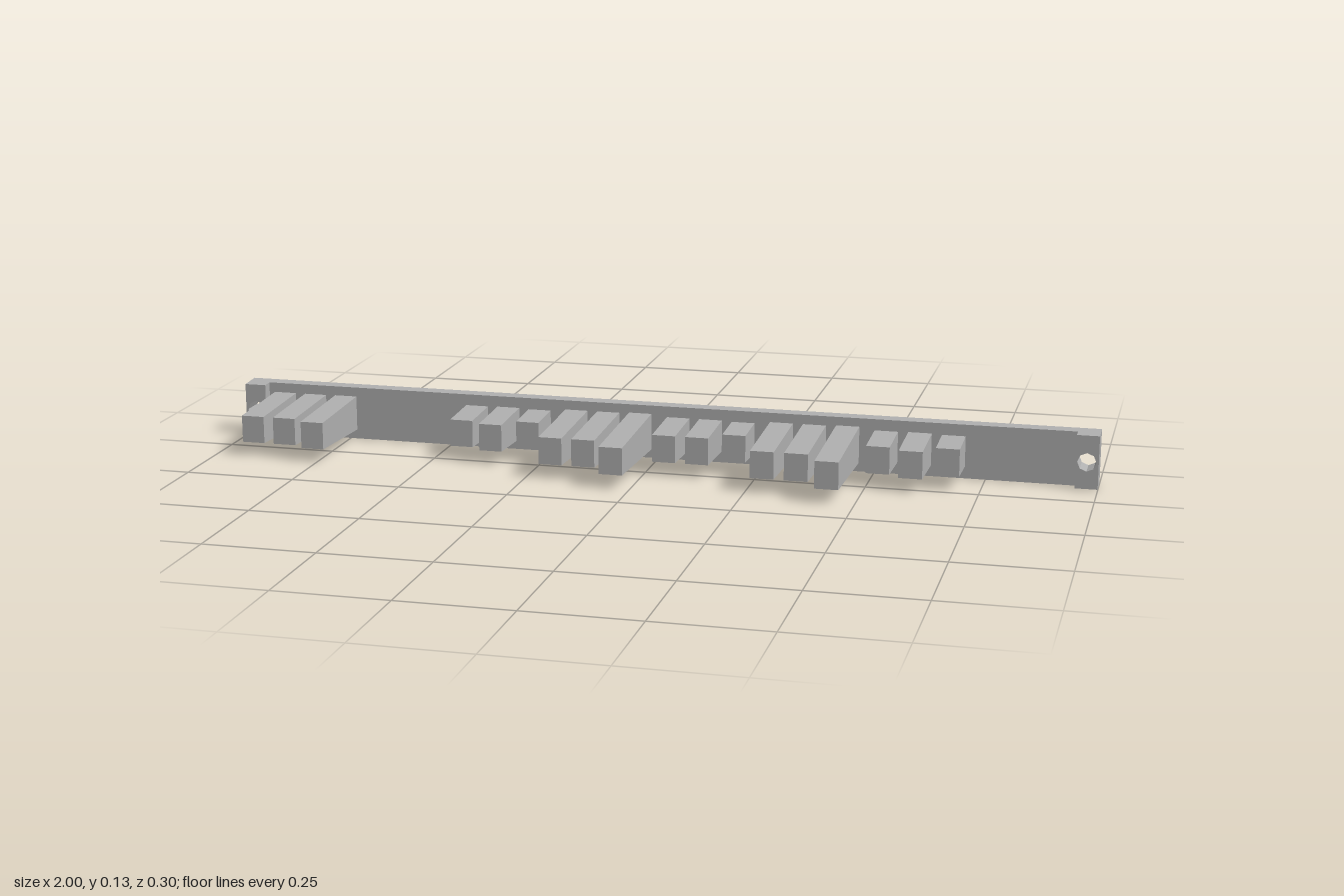
import * as THREE from 'three';

const CY = 0.063;          // mid height of the bar
const BACK = -0.15;        // back face
const FRONT = -0.12;       // front face of the plate
const DRAFT = 0.041;       // top and bottom slope inwards towards the front

// Taper outer top and bottom surfaces: `half` is the half height at depth z0
function applyDraft(geometry, half, z0) {
  const p = geometry.attributes.position;
  for (let i = 0; i < p.count; i++) {
    if (Math.abs(p.getY(i)) > half * 0.9) {
      p.setY(i, Math.sign(p.getY(i)) * (half - DRAFT * (p.getZ(i) - z0)));
    }
  }
  geometry.computeVertexNormals();
  return geometry;
}

// Flat slab between two x and two z positions, with screw holes
function slab(x0, x1, z0, z1, holes) {
  const h = 0.063;
  const shape = new THREE.Shape();
  shape.moveTo(x0, -h).lineTo(x1, -h).lineTo(x1, h).lineTo(x0, h).closePath();
  for (const x of holes) {
    const hole = new THREE.Path();
    hole.absarc(x, 0, 0.021, 0, Math.PI * 2, true);
    shape.holes.push(hole);
  }
  const g = new THREE.ExtrudeGeometry(shape, { depth: z1 - z0, bevelEnabled: false, curveSegments: 4 });
  g.translate(0, 0, z0);
  return applyDraft(g, h, BACK);
}

export function createModel() {
  const group = new THREE.Group();
  group.name = 'toothedBar';
  const grey = new THREE.MeshStandardMaterial({ color: 0xb0b0b0 });
  grey.name = 'grey';

  const add = (name, geometry) => {
    const mesh = new THREE.Mesh(geometry, grey);
    mesh.name = name;
    mesh.position.y = CY;
    group.add(mesh);
  };

  // Long back plate and the raised pad around each screw hole
  const holeX = 0.974;
  add('backPlate', slab(-1, 1, BACK, FRONT, [-holeX, holeX]));
  add('leftEndPad', slab(0.95, 1, FRONT, -0.094, [holeX]));
  add('rightEndPad', slab(-1, -0.95, FRONT, -0.094, [-holeX]));

  // Teeth in groups of three: first centre, then the front z of each tooth
  const teeth = [
    [-0.91, [0.082, 0.082, 0.102]],
    [-0.434, [0.0, 0.022, -0.019]],
    [-0.194, [0.102, 0.102, 0.15]],
    [0.047, [0.022, 0.022, -0.019]],
    [0.287, [0.102, 0.102, 0.15]],
    [0.526, [0.0, 0.022, -0.019]],
  ];
  const pitch = 0.0758, width = 0.053, tipHalf = 0.031, root = FRONT - 0.005;
  teeth.forEach(([start, tips], gi) => tips.forEach((tip, i) => {
    const g = new THREE.BoxGeometry(width, tipHalf * 2, tip - root);
    g.translate(start + i * pitch, 0, (tip + root) / 2);
    add(`tooth${gi * 3 + i + 1}`, applyDraft(g, tipHalf, tip));
  }));

  return group;
}
